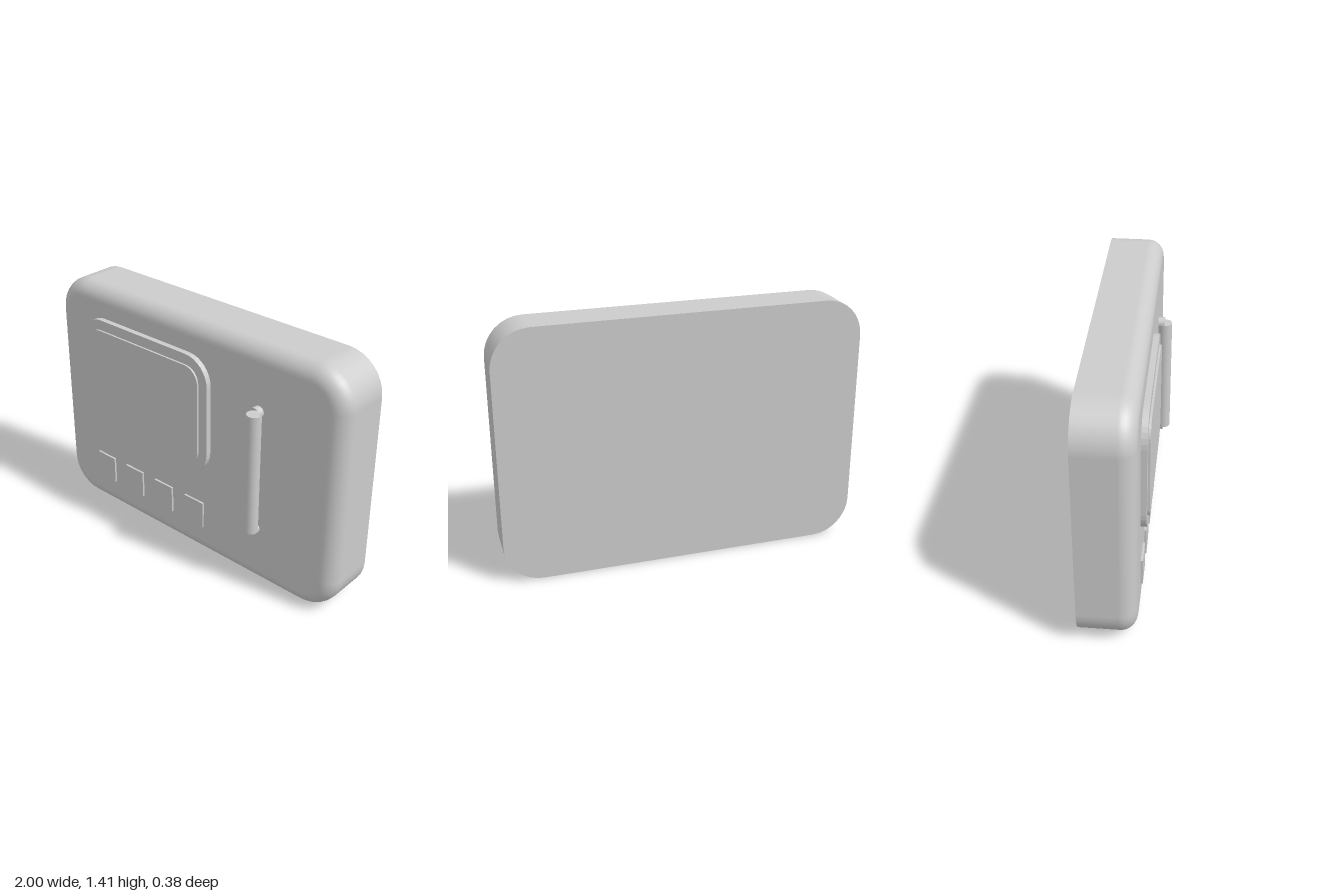
import * as THREE from 'three';

const SEG = 8;       // steps per rounded corner
const BACK = -0.19;  // back plane of the body
const FACE = 0.113;  // front plane of the body

// Points of a rounded rectangle, counter-clockwise, with their outward directions
function roundedLoop(x0, x1, y0, y1, r) {
  const centres = [[x1 - r, y1 - r], [x0 + r, y1 - r], [x0 + r, y0 + r], [x1 - r, y0 + r]];
  const loop = [];
  centres.forEach(([cx, cy], q) => {
    for (let i = 0; i <= SEG; i++) {
      const a = (q + i / SEG) * Math.PI / 2;
      const nx = Math.cos(a), ny = Math.sin(a);
      loop.push({ x: cx + r * nx, y: cy + r * ny, nx, ny });
    }
  });
  return loop;
}

function loopShape(loop) {
  return new THREE.Shape(loop.map(p => new THREE.Vector2(p.x, p.y)));
}

// Flat slab with rounded corners, rising from inside the body to zFront
function slab(x0, x1, y0, y1, r, zFront) {
  const geo = new THREE.ExtrudeGeometry(loopShape(roundedLoop(x0, x1, y0, y1, r)), {
    depth: zFront - 0.1, bevelEnabled: false,
  });
  return geo.translate(0, 0, 0.1);
}

// Side wall flowing into a rounded front edge
function shellGeometry(loop, bevel) {
  const steps = 8, n = loop.length;
  const pos = [], nor = [], idx = [];
  const ring = (t, z) => {
    const c = Math.cos(t), s = Math.sin(t);
    for (const p of loop) {
      pos.push(p.x - bevel * (1 - c) * p.nx, p.y - bevel * (1 - c) * p.ny, z);
      nor.push(p.nx * c, p.ny * c, s);
    }
  };
  ring(0, BACK);
  for (let i = 0; i <= steps; i++) {
    const t = i / steps * Math.PI / 2;
    ring(t, FACE - bevel + bevel * Math.sin(t));
  }
  for (let k = 0; k <= steps; k++) {
    for (let i = 0; i < n; i++) {
      const j = (i + 1) % n;
      const a = k * n + i, b = k * n + j, c = a + n, d = b + n;
      idx.push(a, b, d, a, d, c);
    }
  }
  const geo = new THREE.BufferGeometry();
  geo.setAttribute('position', new THREE.Float32BufferAttribute(pos, 3));
  geo.setAttribute('normal', new THREE.Float32BufferAttribute(nor, 3));
  geo.setIndex(idx);
  return geo;
}

export function createModel() {
  const model = new THREE.Group();
  model.name = 'ovenDoorPanel';
  const grey = new THREE.MeshStandardMaterial({ color: 0xcccccc });
  grey.name = 'plain grey';
  const greyOpen = new THREE.MeshStandardMaterial({ color: 0xcccccc });
  greyOpen.name = 'plain grey';

  const add = (name, geo, parent = model) => {
    const mesh = new THREE.Mesh(geo, grey);
    mesh.name = name;
    parent.add(mesh);
    return mesh;
  };

  // Body: shell, front face and flat back
  const body = new THREE.Group();
  body.name = 'body';
  model.add(body);
  const R = 0.21, B = 0.088, H = 1.41;
  const outline = roundedLoop(-1, 1, 0, H, R);
  add('bodyShell', shellGeometry(outline, B), body);
  const inner = roundedLoop(-1 + B, 1 - B, B, H - B, R - B);
  add('bodyFront', new THREE.ShapeGeometry(loopShape(inner)).translate(0, 0, FACE), body);
  const back = roundedLoop(-1, 1, 0, H, R);
  add('bodyBack', new THREE.ShapeGeometry(loopShape(back)).rotateY(Math.PI).translate(0, 0, BACK), body);

  // Window: frame with a raised pane
  add('windowFrame', slab(-0.765, 0.17, 0.535, 1.237, 0.15, 0.144));
  add('windowPane', slab(-0.708, 0.113, 0.595, 1.178, 0.09, 0.155));

  // Row of four square buttons
  for (let i = 0; i < 4; i++) {
    const button = add('button', new THREE.BoxGeometry(0.138, 0.162, 0.026));
    button.position.set(-0.65 + i * 0.235, 0.263, 0.112);
  }

  // Upright handle bar on two short posts
  const handle = new THREE.Group();
  handle.name = 'handle';
  handle.position.set(0.49, 0.7075, 0.15);
  model.add(handle);
  add('handleBar', new THREE.CylinderGeometry(0.04, 0.04, 0.705, 24), handle);
  for (const side of [-1, 1]) {
    const post = add('handlePost', new THREE.CylinderGeometry(0.034, 0.032, 0.05, 20, 1, true), handle);
    post.rotation.x = Math.PI / 2;
    post.position.set(0, side * 0.352, -0.025);
  }

  return model;
}
